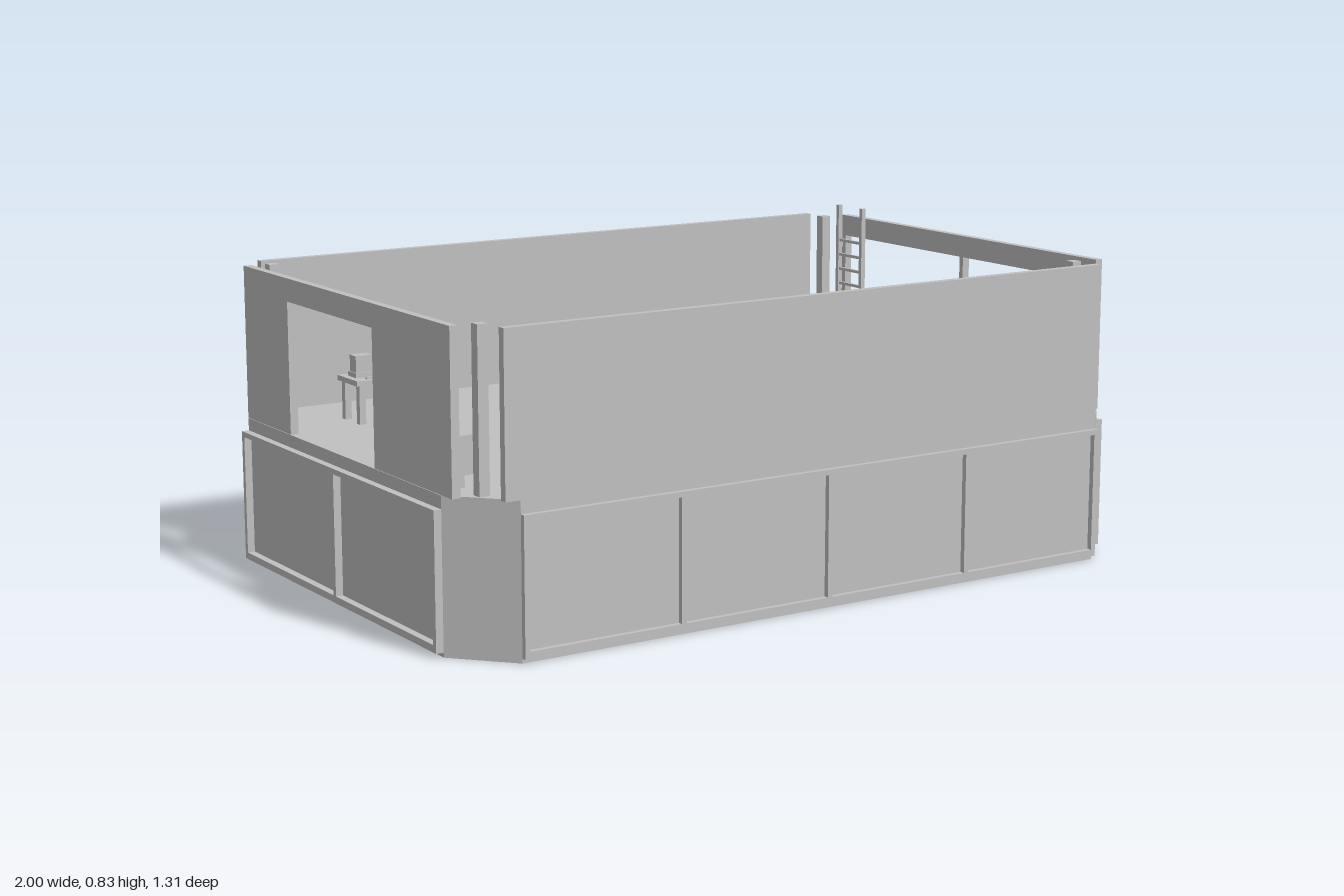
import * as THREE from 'three';

const paint = new THREE.MeshStandardMaterial({ color: 0xc0c0c0 });
paint.name = 'plain grey';

const FLOOR = 0.39, TOP = 0.795;

function group(parent, name) {
  const g = new THREE.Group();
  g.name = name;
  parent.add(g);
  return g;
}

// Box given by its limits on each axis
function box(parent, name, x0, x1, y0, y1, z0, z1) {
  const m = new THREE.Mesh(new THREE.BoxGeometry(x1 - x0, y1 - y0, z1 - z0), paint);
  m.position.set((x0 + x1) / 2, (y0 + y1) / 2, (z0 + z1) / 2);
  m.name = name;
  parent.add(m);
  return m;
}

// Plinth with clipped corners
function addPlinth(root) {
  const corners = [[-0.85, 0.643], [0.905, 0.643], [0.98, 0.565], [0.98, -0.5],
    [0.85, -0.643], [-0.905, -0.643], [-0.98, -0.565], [-0.98, 0.5]];
  const shape = new THREE.Shape(corners.map(([x, z]) => new THREE.Vector2(x, -z)));
  const geo = new THREE.ExtrudeGeometry(shape, { depth: FLOOR, bevelEnabled: false });
  geo.rotateX(-Math.PI / 2);
  const m = new THREE.Mesh(geo, paint);
  m.name = 'plinth';
  root.add(m);
}

// Raised frame around a row of panels, built along x and facing +z
function panelFrame(parent, name, a, b, count, depth) {
  const g = group(parent, name), w = 0.014, y0 = 0.012, y1 = 0.357;
  box(g, 'bottomRail', a, b, y0, y0 + 0.018, 0, depth);
  box(g, 'topRail', a, b, y1 - w, y1, 0, depth);
  for (let i = 0; i <= count; i++) {
    const x = a + (b - a - w) * i / count;
    box(g, 'stile', x, x + w, y0 + 0.018, y1 - w, 0, depth);
  }
  return g;
}

// Row of joined seats along x, backrest on the +z side
function seatRow(parent, x, z, turn) {
  const g = group(parent, 'seatRow');
  for (let i = -1; i <= 1; i++) {
    const c = i * 0.074;
    box(g, 'seat', c - 0.034, c + 0.034, 0.042, 0.058, -0.042, 0.03);
    const back = box(g, 'backrest', c - 0.034, c + 0.034, 0.05, 0.122, 0.026, 0.036);
    back.rotation.x = 0.08;
  }
  box(g, 'beam', -0.111, 0.111, 0.03, 0.042, -0.03, 0.03);
  for (const s of [-1, 1]) box(g, 'leg', s * 0.085 - 0.01, s * 0.085 + 0.01, 0, 0.03, -0.03, 0.03);
  g.position.set(x, FLOOR, z);
  g.rotation.y = turn;
}

// Work table with two pieces of equipment, long side on x
function workTable(parent, x, z, turn) {
  const g = group(parent, 'workTable');
  box(g, 'tableTop', -0.113, 0.113, 0.103, 0.117, -0.057, 0.057);
  for (const sx of [-1, 1]) for (const sz of [-1, 1]) {
    const cx = sx * 0.095, cz = sz * 0.042;
    box(g, 'tableLeg', cx - 0.009, cx + 0.009, 0, 0.103, cz - 0.009, cz + 0.009);
  }
  box(g, 'largeUnit', -0.005, 0.085, 0.117, 0.166, -0.03, 0.034);
  box(g, 'smallUnit', -0.095, -0.042, 0.117, 0.13, -0.03, 0.015);
  box(g, 'screen', -0.092, -0.045, 0.13, 0.174, -0.025, 0.01);
  box(g, 'keypad', -0.078, -0.038, 0.117, 0.122, 0.036, 0.044);
  g.position.set(x, FLOOR, z);
  g.rotation.y = turn;
}

export function createModel() {
  const root = new THREE.Group();
  root.name = 'openRoofRoom';
  addPlinth(root);

  // Panel frames on the four sides of the plinth; opposite sides match by half a turn
  for (const half of [0, 1]) {
    const side = group(root, half ? 'backAndLeftFrames' : 'frontAndRightFrames');
    side.rotation.y = half * Math.PI;
    panelFrame(side, 'longFrame', -0.85, 0.905, 4, 0.014).position.z = 0.643;
    const end = panelFrame(side, 'shortFrame', -0.565, 0.5, 2, 0.02);
    end.position.x = 0.98;
    end.rotation.y = Math.PI / 2;
  }

  // Long walls
  box(root, 'frontWall', -0.89, 0.905, FLOOR, TOP, 0.622, 0.643);
  box(root, 'backWall', -0.905, 0.89, FLOOR, TOP, -0.643, -0.622);

  // Right wall (+x) with a wide two-light window
  const win = group(root, 'windowWall');
  const wx0 = 0.956, wx1 = 0.978;
  box(win, 'wallBelowWindow', wx0, wx1, FLOOR, 0.49, -0.55, 0.57);
  box(win, 'wallAboveWindow', wx0, wx1, 0.735, TOP, -0.55, 0.57);
  box(win, 'windowJamb', wx0, wx1, 0.49, 0.735, 0.537, 0.57);
  box(win, 'windowJamb', wx0, wx1, 0.49, 0.735, -0.55, -0.534);
  box(win, 'mullion', wx0, wx1, 0.49, 0.735, 0.003, 0.018);

  // Left wall (-x) with a wide doorway
  const door = group(root, 'doorWall');
  box(door, 'wallBesideDoor', -wx1, -wx0, FLOOR, TOP, -0.57, -0.31);
  box(door, 'wallBesideDoor', -wx1, -wx0, FLOOR, TOP, 0.16, 0.55);
  box(door, 'wallAboveDoor', -wx1, -wx0, 0.735, TOP, -0.31, 0.16);

  // Corner posts
  for (const x of [-0.901, 0.893]) for (const z of [-0.56, 0.552]) {
    box(root, 'cornerPost', x - 0.014, x + 0.014, FLOOR, TOP, z - 0.014, z + 0.014);
  }

  // Ladder by the window wall
  const ladder = group(root, 'ladder');
  for (const z of [-0.41, -0.523]) box(ladder, 'ladderRail', 0.917, 0.931, FLOOR, 0.83, z - 0.006, z + 0.006);
  for (let i = 0; i < 8; i++) {
    const y = 0.425 + i * 0.043;
    box(ladder, 'rung', 0.92, 0.928, y - 0.004, y + 0.004, -0.518, -0.416);
  }

  // Bench by the back wall, with a long board on its inner edge
  const bench = group(root, 'backBench');
  box(bench, 'benchSeat', -0.156, 0.148, 0.43, 0.455, -0.61, -0.54);
  box(bench, 'benchBoard', -0.156, 0.148, 0.43, 0.525, -0.54, -0.53);
  box(bench, 'benchBase', -0.12, 0.11, FLOOR, 0.43, -0.59, -0.55);

  // Couch by the door wall, with a raised head end
  const couch = group(root, 'couch');
  box(couch, 'couchSeat', -0.952, -0.868, 0.43, 0.455, 0.2, 0.465);
  box(couch, 'couchHead', -0.952, -0.868, 0.43, 0.525, 0.465, 0.5);
  box(couch, 'couchBase', -0.935, -0.895, FLOOR, 0.43, 0.24, 0.46);

  // Seats and tables
  seatRow(root, -0.104, -0.192, 0);
  seatRow(root, 0.335, -0.066, 0);
  seatRow(root, -0.104, 0.124, Math.PI / 2);
  workTable(root, -0.67, -0.374, 0);
  workTable(root, -0.43, 0.059, -Math.PI / 2);

  // Trolley carrying a crate
  const trolley = group(root, 'trolley');
  box(trolley, 'trolleyDeck', 0.432, 0.578, 0.425, 0.437, 0.392, 0.473);
  box(trolley, 'crate', 0.452, 0.565, 0.437, 0.492, 0.4, 0.465);
  box(trolley, 'trolleyHandle', 0.566, 0.576, 0.437, 0.513, 0.396, 0.469);
  for (const x of [0.45, 0.56]) for (const z of [0.403, 0.462]) {
    box(trolley, 'trolleyLeg', x - 0.009, x + 0.009, FLOOR, 0.425, z - 0.008, z + 0.008);
  }
  return root;
}
